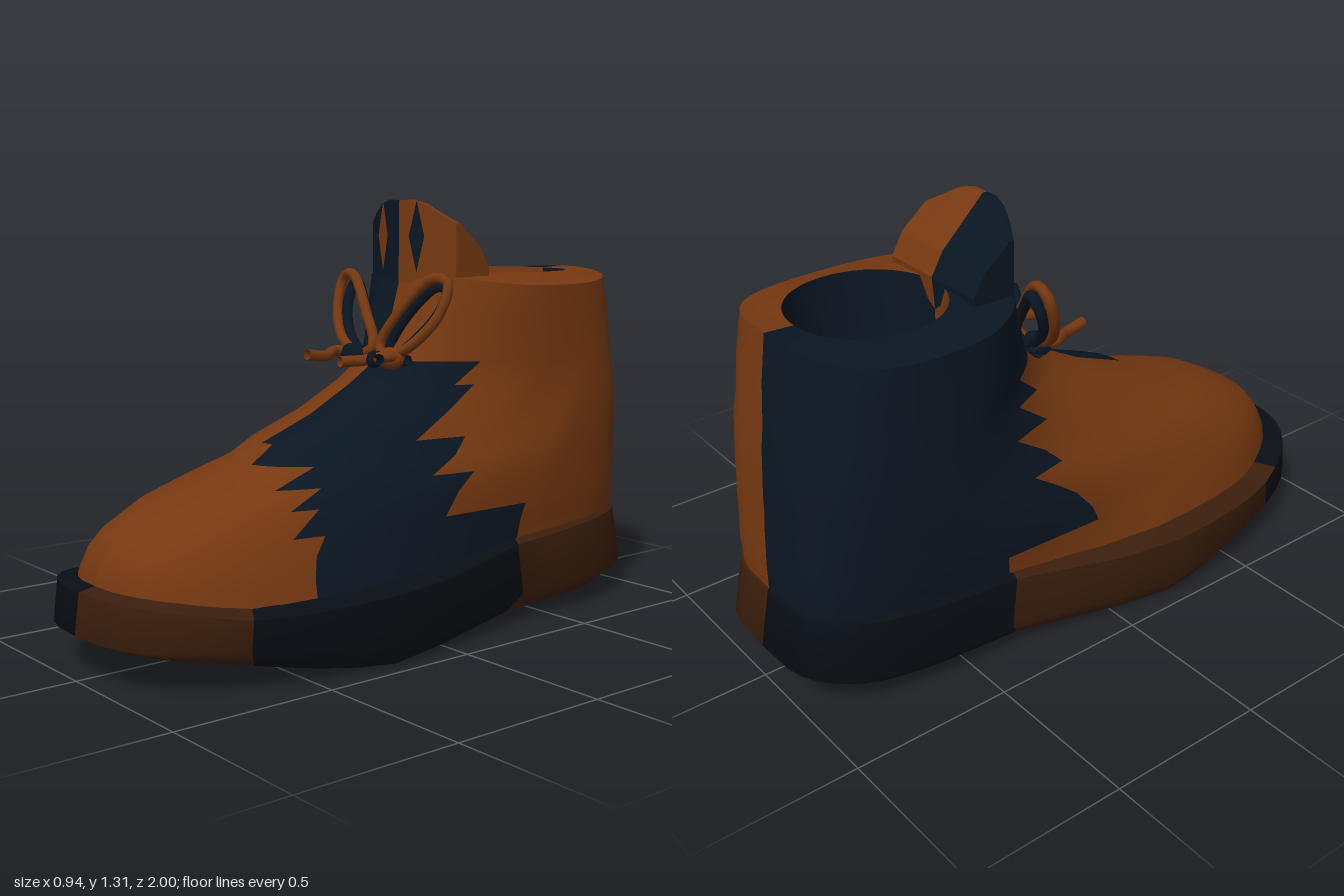
import * as THREE from 'three';

const SEG = 48;
const material = (color, flatShading = false) =>
  new THREE.MeshStandardMaterial({ color, flatShading, side: THREE.DoubleSide });
const brown = material(0x763811), navy = material(0x0b1623);
const soleBrown = material(0x3c1f0d), soleNavy = material(0x080e15);
const flatBrown = material(0x763811, true), flatNavy = material(0x0b1623, true);

// Piecewise linear lookup in a list of [key, value], keys descending
function along(points, z) {
  if (z >= points[0][0]) return points[0][1];
  for (let i = 1; i < points.length; i++) {
    const [z0, v0] = points[i - 1], [z1, v1] = points[i];
    if (z >= z1) return v0 + (v1 - v0) * (z0 - z) / (z0 - z1);
  }
  return points[points.length - 1][1];
}

// Foot-shaped ring: own width and roundness at each end, blended from the waist forwards
function ring([y, zFront, zBack, wFront, wHeel, pFront = 0.75, pHeel = 0.5, waist = -0.28]) {
  const points = [];
  for (let j = 0; j <= SEG; j++) {
    const a = (j / SEG) * Math.PI * 2, c = Math.cos(a), s = j % (SEG / 2) ? Math.sin(a) : 0;
    const p = c > 0 ? pFront : pHeel;
    const z = (zFront + zBack) / 2 + (zFront - zBack) / 2 * Math.sign(c) * Math.abs(c) ** p;
    const w = THREE.MathUtils.lerp(wHeel, wFront, THREE.MathUtils.smoothstep(z, waist, waist + 0.45));
    const x = w * Math.sign(s) * Math.abs(s) ** p;
    points.push([x, typeof y === 'function' ? y(z, x) : y, z]);
  }
  return points;
}

// Skin over rings, split into two colours by a rule on each face's centre
function loft(name, rows, isBrown, brownMat, navyMat) {
  const rings = rows.map(ring), n = SEG + 1;
  const all = [], parts = [[], []];
  for (let i = 0; i < rings.length - 1; i++) {
    for (let j = 0; j < SEG; j++) {
      const a = i * n + j, b = a + 1, c = b + n, d = a + n;
      const corners = [rings[i][j], rings[i][j + 1], rings[i + 1][j + 1], rings[i + 1][j]];
      const centre = [0, 1, 2].map(k => corners.reduce((sum, q) => sum + q[k], 0) / 4);
      const face = [a, b, c, a, c, d];
      all.push(...face);
      parts[isBrown(...centre, i) ? 0 : 1].push(...face);
    }
  }
  const base = new THREE.BufferGeometry();
  base.setAttribute('position', new THREE.Float32BufferAttribute(rings.flat(2), 3));
  base.setIndex(all);
  base.computeVertexNormals();
  const group = new THREE.Group();
  group.name = name;
  parts.forEach((index, k) => {
    if (!index.length) return;
    const geometry = base.clone();
    geometry.setIndex(index);
    const mesh = new THREE.Mesh(geometry, k ? navyMat : brownMat);
    mesh.name = name + (k ? 'NavyPanels' : 'BrownPanels');
    group.add(mesh);
  });
  return group;
}

function createSole() {
  const bottom = z => along([[1, 0.11], [0.75, 0.085], [0.45, 0.03], [0.25, 0], [0, 0.015],
    [-0.4, 0.04], [-0.85, 0.045], [-1, 0.06]], z);
  const edge = z => bottom(z) + along([[1, 0.02], [0.4, 0.06], [-1, 0.05]], z);
  const top = z => along([[0.98, 0.25], [0.9, 0.24], [0.65, 0.2], [0, 0.22], [-0.3, 0.25], [-0.95, 0.29]], z);
  const lower = [bottom, 0.95, -0.92, 0.437, 0.335];
  const tread = loft('tread', [
    [0.07, 0.01, -0.01, 0.005, 0.005],
    [0.07, 0.5, -0.5, 0.17, 0.14],
    [z => bottom(z) + 0.015, 0.75, -0.75, 0.33, 0.26],
    lower,
  ], (x, y, z) => x > 0 ? z > -0.1 : z < -0.45 || (z > 0.4 && z < 0.8), soleBrown, soleNavy);
  const sideColour = (x, y, z) => x > 0 ? z > 0.68 || z < -0.26 : z > -0.2 && z < 0.72;
  const outer = [top, 0.985, -0.965, 0.475, 0.364];
  const wall = loft('soleWall', [lower, [edge, 1, -1, 0.475, 0.37], outer],
    sideColour, soleBrown, soleNavy);
  const ledge = loft('soleLedge', [outer, [z => top(z) + 0.02, 0.92, -0.94, 0.375, 0.34]],
    sideColour, soleBrown, soleNavy);
  const sole = new THREE.Group();
  sole.name = 'sole';
  sole.add(tread, wall, ledge);
  return sole;
}

function createUpper() {
  const rim = [(z, x) => 1.09 - 0.35 * x * x, -0.17, -0.9, 0.34, 0.34, 0.85, 0.75];
  // Navy patch over the left instep, with a ragged edge towards the heel
  const heelEdge = y => along([[0.8, -0.22], [0.73, -0.2], [0.65, -0.1], [0.57, -0.13],
    [0.52, -0.03], [0.42, -0.2], [0.2, -0.23]], y);
  const colour = (x, y, z) => x > 0
    ? z > 0.4 || z < heelEdge(y) || y > 0.84
    : z > -0.2 && y < 0.8;
  const skin = loft('upper', [
    [0.18, 0.94, -0.95, 0.41, 0.34],
    [0.27, 0.935, -0.96, 0.385, 0.345],
    [0.33, 0.91, -0.96, 0.365, 0.352],
    [0.38, 0.87, -0.96, 0.35, 0.36, 0.78, 0.5, -0.3],
    [0.45, 0.75, -0.957, 0.335, 0.362, 0.8, 0.52, -0.34],
    [0.5, 0.61, -0.955, 0.315, 0.364, 0.82, 0.53, -0.4],
    [0.55, 0.45, -0.95, 0.3, 0.365, 0.85, 0.55, -0.48],
    [0.6, 0.37, -0.95, 0.28, 0.364, 0.88, 0.56, -0.52],
    [0.67, 0.19, -0.945, 0.265, 0.36, 0.9, 0.58, -0.55],
    [0.75, 0.04, -0.94, 0.25, 0.352, 0.92, 0.6, -0.55],
    [0.82, -0.07, -0.93, 0.25, 0.345, 0.9, 0.64, -0.5],
    [0.95, -0.13, -0.92, 0.28, 0.34, 0.87, 0.7, -0.4],
    rim,
  ], colour, brown, navy);
  const inner = [1.085, -0.35, -0.81, 0.225, 0.225, 1, 0.95];
  const collar = loft('collar', [rim, inner], x => x > 0, brown, navy);
  const lining = loft('lining', [
    inner,
    [0.85, -0.355, -0.79, 0.2, 0.2, 1, 0.95],
    [0.55, -0.36, -0.77, 0.17, 0.17, 1, 0.95],
    [0.55, -0.56, -0.58, 0.005, 0.005, 1, 0.95],
  ], (x, y, z, i) => x < 0 || i === 2, brown, navy);
  const upper = new THREE.Group();
  upper.name = 'bootUpper';
  upper.add(skin, collar, lining);
  return upper;
}

// Wedge-shaped tongue: upright front, hollowed back sloping down to the collar
function createTongue() {
  const tongue = new THREE.Group();
  tongue.name = 'tongue';
  for (const side of [-1, 1]) {
    const geometry = new THREE.BoxGeometry(0.2, 1, 1, 4, 3, 1);
    const pos = geometry.attributes.position;
    for (let i = 0; i < pos.count; i++) {
      const x = pos.getX(i) + side * 0.1, level = Math.round((pos.getY(i) + 0.5) * 3);
      const peak = along([[0.2, 1.24], [0.1, 1.3], [0.02, 1.32], [0, 1.31]], Math.abs(x));
      const front = -0.16 - 1.5 * x * x;
      const back = [-0.34, -0.36, -0.32, front - 0.015][level];
      pos.setXYZ(i, x, [0.85, 1.1, 1.17, peak][level], pos.getZ(i) > 0 ? front : back);
    }
    geometry.computeVertexNormals();
    const half = new THREE.Mesh(geometry, side > 0 ? flatBrown : flatNavy);
    half.name = side > 0 ? 'tongueLeft' : 'tongueRight';
    const diamond = new THREE.Mesh(new THREE.CircleGeometry(1, 4), side > 0 ? navy : brown);
    diamond.name = 'tongueDiamond';
    diamond.scale.set(0.03, 0.11, 1);
    diamond.position.set(side * 0.08, 1.2, -0.163);
    diamond.rotation.y = side * 0.2;
    tongue.add(half, diamond);
  }
  return tongue;
}

// Bow: doubled loops, knots and loose ends
function createLaces() {
  const laces = new THREE.Group();
  laces.name = 'laces';
  const cord = (name, points, mat, shift = 0) => {
    const curve = new THREE.CatmullRomCurve3(points.map(([x, y, z]) => new THREE.Vector3(x, y, z + shift)));
    const mesh = new THREE.Mesh(new THREE.TubeGeometry(curve, 28, 0.017, 8), mat);
    mesh.name = name;
    laces.add(mesh);
  };
  for (const s of [-1, 1]) {
    const loop = (grow) => [[0.06, 0.83, -0.07], [0.03 - grow, 0.86, -0.08], [0.09 - grow, 0.96, -0.1],
      [0.19, 1.06 + grow, -0.14], [0.235 + grow, 1.05 + grow, -0.15], [0.23 + grow, 0.97, -0.12],
      [0.16 + grow, 0.88, -0.08], [0.06, 0.82, -0.06]].map(([x, y, z]) => [s * x, y, z]);
    cord('bowLoop', loop(0.015), brown, 0.01);
    cord('bowLoopInner', loop(-0.01), navy, -0.01);
    const knot = new THREE.Mesh(new THREE.SphereGeometry(1, 12, 8), s > 0 ? brown : navy);
    knot.name = 'knot';
    knot.scale.set(0.055, 0.035, 0.035);
    knot.position.set(s * 0.09, 0.83, -0.05);
    laces.add(knot);
  }
  cord('crossLace', [[-0.14, 0.825, -0.08], [0, 0.82, -0.065], [0.14, 0.825, -0.08]], navy);
  cord('laceEndRight', [[-0.1, 0.83, -0.08], [-0.13, 0.84, -0.01], [-0.09, 0.83, 0.06], [-0.08, 0.84, 0.14]], brown);
  cord('laceEndLeft', [[0.05, 0.83, -0.06], [0.09, 0.84, 0.02], [0.15, 0.83, 0.07], [0.24, 0.85, 0.12]], navy);
  cord('laceEndMiddle', [[0.12, 0.83, -0.07], [0.12, 0.84, -0.02], [0.08, 0.83, 0.05], [0.07, 0.83, 0.13]], brown);
  return laces;
}

export function createModel() {
  const boot = new THREE.Group();
  boot.name = 'boot';
  boot.add(createSole(), createUpper(), createTongue(), createLaces());
  return boot;
}
